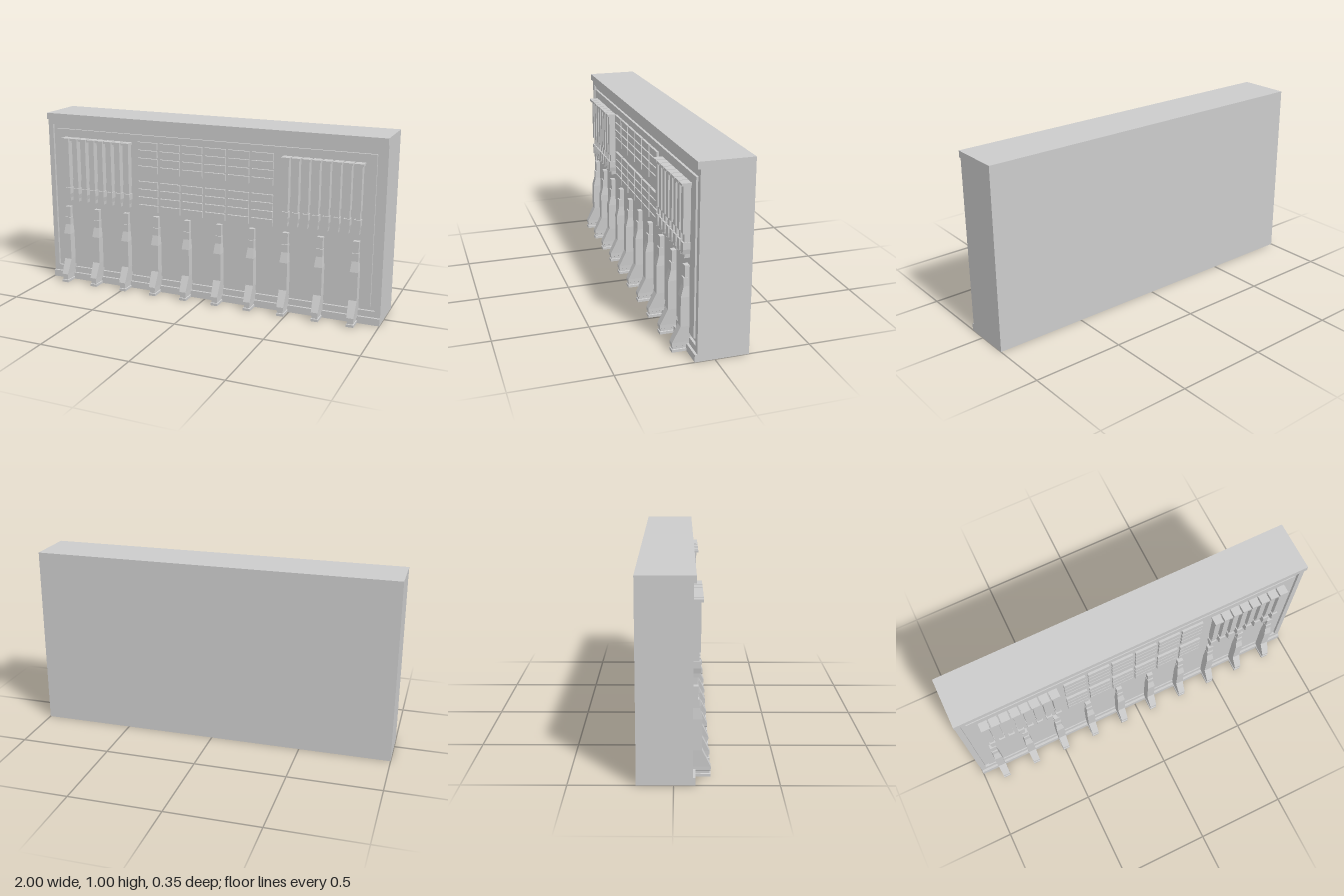
import * as THREE from 'three';

const FACE = 0.09; // z of the front face
const BACK = -0.177;
const mat = new THREE.MeshStandardMaterial({ color: 0xcccccc, flatShading: true });

// Box given by its limits
function box(name, x0, x1, y0, y1, z0, z1) {
  const m = new THREE.Mesh(new THREE.BoxGeometry(x1 - x0, y1 - y0, z1 - z0), mat);
  m.position.set((x0 + x1) / 2, (y0 + y1) / 2, (z0 + z1) / 2);
  m.name = name;
  return m;
}

// Half column against the wall, from levels [y, halfWidth, frontZ], bottom to top
function pilasterGeometry(levels) {
  const pos = [];
  const ring = ([y, w, z]) => [[-w, y, FACE - 0.01], [-w, y, z], [w, y, z], [w, y, FACE - 0.01]];
  const quad = (a, b, c, d) => pos.push(...a, ...b, ...c, ...a, ...c, ...d);
  const rings = levels.map(ring);
  for (let i = 0; i < rings.length - 1; i++) {
    const lo = rings[i], hi = rings[i + 1];
    for (let k = 0; k < 3; k++) quad(lo[k], lo[k + 1], hi[k + 1], hi[k]);
  }
  const b = rings[0], t = rings[rings.length - 1];
  quad(b[0], b[3], b[2], b[1]);
  quad(t[0], t[1], t[2], t[3]);
  const g = new THREE.BufferGeometry();
  g.setAttribute('position', new THREE.Float32BufferAttribute(pos, 3));
  g.computeVertexNormals();
  return g;
}

function rect(path, x, y0, y1) {
  path.moveTo(-x, y0);
  path.lineTo(x, y0);
  path.lineTo(x, y1);
  path.lineTo(-x, y1);
  path.closePath();
  return path;
}

export function createModel() {
  const model = new THREE.Group();

  // Main block, with a shallow groove running round the front panel
  const grooveZ = FACE - 0.013;
  model.add(box('wallBlock', -1, 1, 0, 1, BACK, grooveZ));
  const border = rect(new THREE.Shape(), 1, 0, 1);
  border.holes.push(rect(new THREE.Path(), 0.97, 0.073, 0.933));
  const frame = new THREE.Mesh(
    new THREE.ExtrudeGeometry(border, { depth: FACE - grooveZ, bevelEnabled: false }), mat);
  frame.position.z = grooveZ;
  frame.name = 'outerFrame';
  model.add(frame);
  model.add(box('frontPanel', -0.944, 0.944, 0.096, 0.911, grooveZ, FACE));

  // Top and bottom ledges
  model.add(box('topLedge', -1, 1, 0.964, 1, FACE, 0.103));
  model.add(box('bottomLedge', -1, 1, 0, 0.039, FACE, 0.103));

  // Ten buttresses with flared feet
  const buttress = pilasterGeometry([
    [0, 0.02, 0.177], [0.014, 0.02, 0.177], [0.016, 0.016, 0.172], [0.03, 0.016, 0.172],
    [0.032, 0.019, 0.177], [0.05, 0.019, 0.177], [0.135, 0.022, 0.135], [0.29, 0.022, 0.135],
    [0.345, 0.017, 0.12], [0.388, 0.017, 0.12], [0.388, 0.015, 0.113], [0.442, 0.015, 0.113],
    [0.442, 0.016, 0.115], [0.452, 0.016, 0.115],
  ]);
  const buttresses = new THREE.Group();
  buttresses.name = 'buttresses';
  for (let i = 0; i < 10; i++) {
    const m = new THREE.Mesh(buttress, mat);
    m.position.x = -0.877 + i * 0.193;
    m.name = 'buttress';
    buttresses.add(m);
  }
  model.add(buttresses);

  // Two banks of eight slim hanging pilasters
  const slim = pilasterGeometry([
    [0.49, 0.011, 0.118], [0.51, 0.012, 0.118], [0.51, 0.012, 0.127], [0.535, 0.017, 0.127],
    [0.57, 0.017, 0.127], [0.57, 0.012, 0.119], [0.614, 0.012, 0.119], [0.614, 0.016, 0.127],
    [0.853, 0.016, 0.127], [0.853, 0.024, 0.139], [0.866, 0.024, 0.139],
  ]);
  for (const side of [-1, 1]) {
    const bank = new THREE.Group();
    bank.name = side < 0 ? 'rightPilasters' : 'leftPilasters';
    for (let i = 0; i < 8; i++) {
      const m = new THREE.Mesh(slim, mat);
      m.position.x = side * (0.474 + i * 0.0557);
      m.name = 'slimPilaster';
      bank.add(m);
    }
    model.add(bank);
  }

  // Two blocks of raised slats: six columns, four rows each
  const slats = new THREE.Group();
  slats.name = 'slats';
  for (const top of [0.873, 0.648]) {
    for (let c = 0; c < 6; c++) {
      for (let r = 0; r < 4; r++) {
        const x = -0.412 + c * 0.137, y = top - r * 0.0455;
        slats.add(box('slat', x, x + 0.122, y - 0.038, y, FACE - 0.005, 0.103));
      }
    }
  }
  model.add(slats);

  return model;
}
